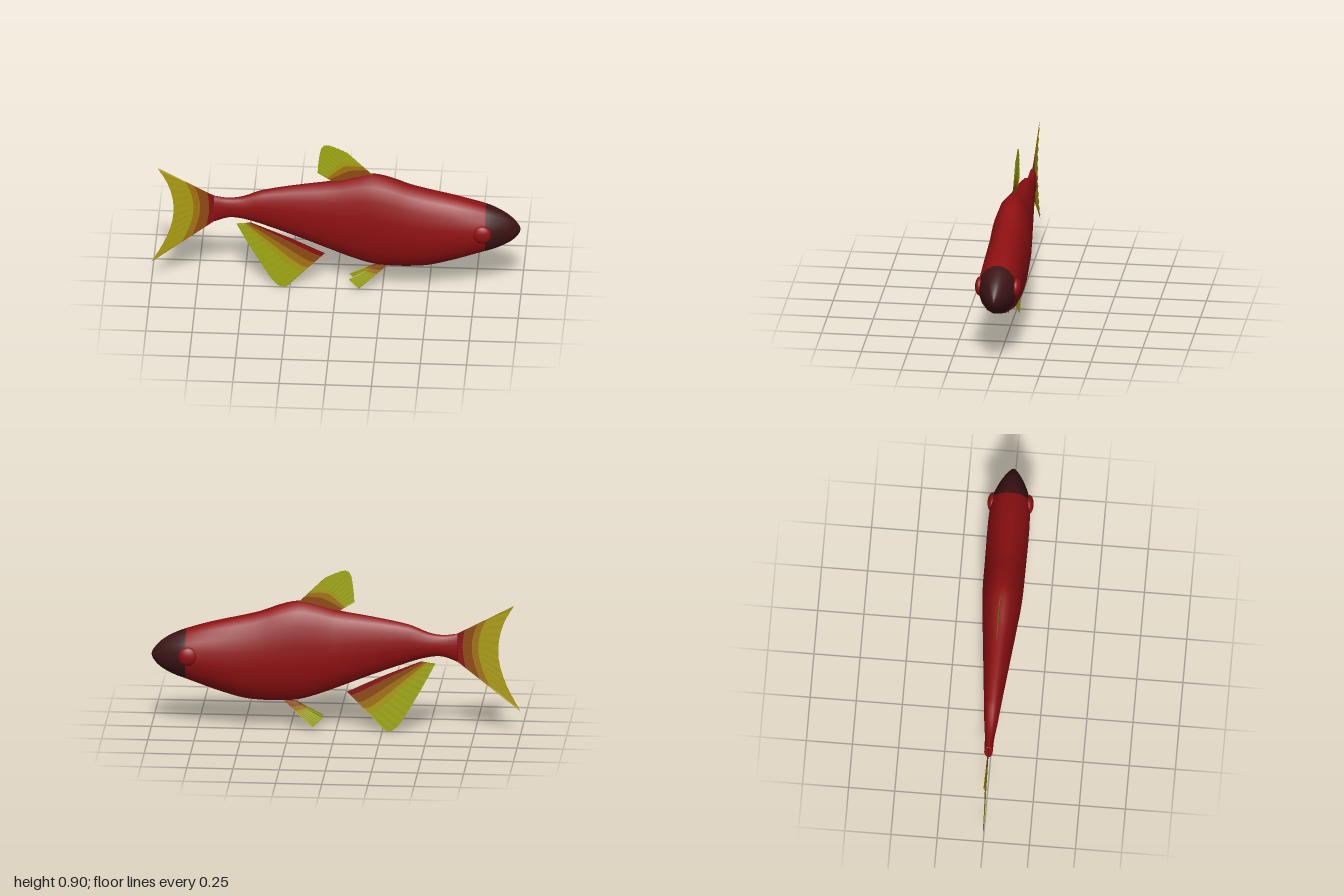
import * as THREE from 'three';

const mat = (name, color, side = THREE.FrontSide) => {
  const m = new THREE.MeshStandardMaterial({ color, side });
  m.name = name;
  return m;
};

// Indexed surface from a grid of points; groupOf(row) picks the material index
function gridSurface(rows, groupOf) {
  const n = rows[0].length, pos = rows.flat(2), index = [];
  const geo = new THREE.BufferGeometry();
  for (let i = 0; i < rows.length - 1; i++) {
    const start = index.length;
    for (let j = 0; j < n - 1; j++) {
      const a = i * n + j, b = a + n;
      index.push(a, a + 1, b, a + 1, b + 1, b);
    }
    geo.addGroup(start, index.length - start, groupOf(i));
  }
  geo.setAttribute('position', new THREE.Float32BufferAttribute(pos, 3));
  geo.setIndex(index);
  geo.computeVertexNormals();
  return geo;
}

const spline = (pts) => new THREE.CatmullRomCurve3(pts.map(([x, y, z = 0]) => new THREE.Vector3(x, y, z)));

// Body stations: x, top, bottom, half width
const STATIONS = [
  [-0.66, 0.565, 0.408, 0.023], [-0.58, 0.555, 0.437, 0.026], [-0.5, 0.568, 0.432, 0.036],
  [-0.4, 0.608, 0.403, 0.046], [-0.2, 0.648, 0.33, 0.066], [0, 0.68, 0.25, 0.086],
  [0.1, 0.709, 0.212, 0.096], [0.2, 0.727, 0.183, 0.106], [0.3, 0.705, 0.174, 0.111],
  [0.4, 0.667, 0.175, 0.112], [0.5, 0.64, 0.185, 0.113], [0.6, 0.617, 0.212, 0.114],
  [0.7, 0.592, 0.245, 0.113], [0.81, 0.558, 0.285, 0.105], [0.87, 0.535, 0.305, 0.086],
  [0.93, 0.502, 0.334, 0.058], [0.97, 0.467, 0.364, 0.032], [0.992, 0.438, 0.392, 0.013],
  [0.999, 0.416, 0.414, 0.001],
];
const SIDES = 16, STEPS = 3, HEAD_STATION = 13;

// Catmull-Rom interpolation between stations
function stationAt(i, t) {
  const s = (k) => STATIONS[Math.min(Math.max(k, 0), STATIONS.length - 1)];
  const slope = (k, c) => (s(k + 1)[c] - s(k - 1)[c]) / (s(k + 1)[0] - s(k - 1)[0]);
  const dx = s(i + 1)[0] - s(i)[0];
  const h = (c) => {
    const t2 = t * t, t3 = t2 * t;
    return (2 * t3 - 3 * t2 + 1) * s(i)[c] + (t3 - 2 * t2 + t) * dx * slope(i, c)
      + (3 * t2 - 2 * t3) * s(i + 1)[c] + (t3 - t2) * dx * slope(i + 1, c);
  };
  return i >= STATIONS.length - 3
    ? s(i).map((v, c) => v + (s(i + 1)[c] - v) * t)
    : [s(i)[0] + dx * t, h(1), h(2), h(3)];
}

function bodyGeometry() {
  const ring = ([x, top, bottom, w]) => Array.from({ length: SIDES + 1 }, (_, j) => {
    const a = ((j % SIDES) + 0.5) / SIDES * Math.PI * 2;
    const yScale = Math.cos(Math.PI / SIDES);
    return [x, (top + bottom) / 2 + (top - bottom) / 2 * Math.cos(a) / yScale, w * Math.sin(a)];
  });
  const rows = [];
  for (let i = 0; i < STATIONS.length - 1; i++)
    for (let k = 0; k < STEPS; k++) rows.push(ring(stationAt(i, k / STEPS)));
  rows.push(ring(STATIONS[STATIONS.length - 1]));
  const geo = gridSurface(rows, (r) => (r >= HEAD_STATION * STEPS ? 1 : 0));
  // Match the normals along the seam
  const nrm = geo.attributes.normal, a = new THREE.Vector3(), b = new THREE.Vector3();
  for (let r = 0; r < rows.length; r++) {
    const p = r * (SIDES + 1), q = p + SIDES;
    a.fromBufferAttribute(nrm, p).add(b.fromBufferAttribute(nrm, q)).normalize();
    nrm.setXYZ(p, a.x, a.y, a.z);
    nrm.setXYZ(q, a.x, a.y, a.z);
  }
  return geo;
}

// Fin spread from a root line to a tip line, in colour bands, with pleated rays
function finGeometry(root, tip, bands, rays = 24) {
  const r = spline(root), e = spline(tip);
  const rows = [0, ...bands, 1].map((t) => Array.from({ length: rays + 1 }, (_, j) => {
    const p = r.getPointAt(j / rays).lerp(e.getPointAt(j / rays), t);
    return [p.x, p.y, p.z + (j % 2 ? 0.0025 : -0.0025) * t];
  }));
  return gridSurface(rows, (i) => i);
}

export function createModel() {
  const model = new THREE.Group();
  model.name = 'fish';
  const red = mat('scale red', 0x8f1012);
  const dark = mat('head dark', 0x3c1414);
  const D = THREE.DoubleSide;
  const finRed = mat('fin red', 0x8a1010, D);
  const brown = mat('fin brown', 0x8e4a12, D);
  const orange = mat('fin orange', 0xa27212, D);
  const gold = mat('fin gold', 0xaa9c12, D);
  const lime = mat('fin lime', 0xa0a812, D);

  const add = (name, geo, material) => {
    const mesh = new THREE.Mesh(geo, material);
    mesh.name = name;
    model.add(mesh);
    return mesh;
  };

  // Body and dark snout
  add('body', bodyGeometry(), [red, dark]);

  // Closed end of the tail stalk
  const cap = add('tailStalkEnd', new THREE.CircleGeometry(1, SIDES), red);
  cap.scale.set(0.023, 0.0785, 1);
  cap.rotation.y = -Math.PI / 2;
  cap.position.set(-0.66, 0.4865, 0);

  // Eyes
  for (const side of [1, -1]) {
    const eye = add(side > 0 ? 'frontEye' : 'backEye', new THREE.SphereGeometry(0.052, 20, 14), red);
    eye.scale.z = 0.5;
    eye.position.set(0.795, 0.432, side * 0.099);
  }

  // Tail fin
  add('tailFin', finGeometry(
    [[-0.655, 0.41], [-0.655, 0.565]],
    [[-1, 0.135], [-0.925, 0.28], [-0.885, 0.41], [-0.882, 0.52], [-0.91, 0.63], [-0.965, 0.73]],
    [0.14, 0.36, 0.52, 0.68]), [finRed, brown, orange, gold, gold]);

  // Dorsal fin
  add('dorsalFin', finGeometry(
    [[-0.02, 0.68], [0.09, 0.7], [0.2, 0.727]],
    [[-0.1, 0.73], [-0.095, 0.8], [-0.075, 0.895], [-0.05, 0.908], [0, 0.893], [0.06, 0.865]],
    [0.22, 0.36, 0.45]), [brown, orange, gold, lime]);

  // Anal fin
  add('analFin', finGeometry(
    [[-0.46, 0.405], [-0.26, 0.32], [-0.06, 0.225]],
    [[-0.54, 0.395], [-0.43, 0.19], [-0.325, 0.025], [-0.285, 0.002], [-0.26, 0.015]],
    [0.1, 0.28, 0.43, 0.56]), [finRed, brown, orange, gold, lime]);

  // Pair of pelvic fins, splayed outward
  for (const side of [1, -1])
    add(side > 0 ? 'frontPelvicFin' : 'backPelvicFin', finGeometry(
      [[0.215, 0.165, side * 0.009], [0.285, 0.174, side * 0.009]],
      [[0.07, 0.082, side * 0.03], [0.125, 0.024, side * 0.03]],
      [0.25, 0.4, 0.5], 12), [brown, orange, gold, lime]);

  return model;
}
